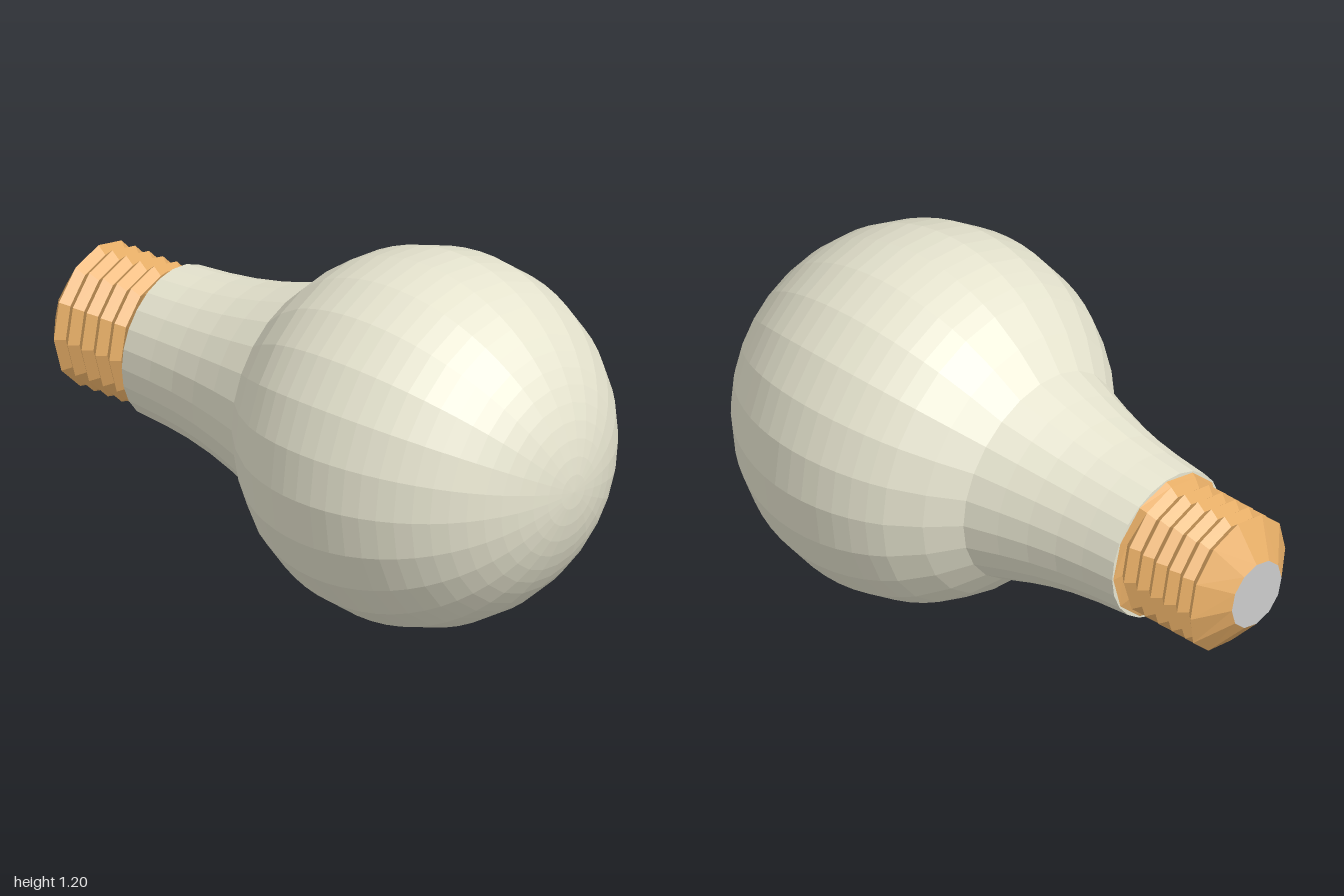
import * as THREE from 'three';

const AXIS_Y = 0.6;       // height of the bulb's axis, which runs along z
const TIP_Z = -1, TIP_R = 0.115;
const COLLAR_Z = -0.62, COLLAR_R = 0.245;
const CREST = 0.235, ROOT = 0.21, PITCH = 0.056, START = -0.935;
const SIDES = 12;

const material = (color) => new THREE.MeshStandardMaterial({ color, flatShading: true });

// Glass: neck curve running into a sphere of radius 0.6, turned around the axis
function createGlass() {
  const profile = [
    [0, -0.62], [0.25, -0.62], [0.26, -0.5], [0.273, -0.4], [0.293, -0.3],
    [0.32, -0.2], [0.355, -0.09], [0.445, 0.0],
  ].map(([r, z]) => new THREE.Vector2(r, z));
  const rings = 22, first = THREE.MathUtils.degToRad(120);
  for (let i = 0; i <= rings; i++) {
    const a = first * (1 - i / rings);
    profile.push(new THREE.Vector2(0.6 * Math.sin(a), 0.4 + 0.6 * Math.cos(a)));
  }
  const geometry = new THREE.LatheGeometry(profile, 24);
  geometry.rotateX(Math.PI / 2);
  return geometry;
}

// Cross-section of the screw base at t turns: [radius, z] from tip to collar
function screwSection(t) {
  const z0 = START + PITCH * t;
  // the thread runs out in the last quarter turn
  const fade = Math.max(0, (t - 0.75) / 0.25);
  const edge = THREE.MathUtils.lerp(z0, START, fade);
  const section = [
    [TIP_R, TIP_Z],
    [CREST, edge],
    [THREE.MathUtils.lerp(CREST, ROOT, fade), THREE.MathUtils.lerp(z0, z0 - PITCH / 2, fade)],
  ];
  for (let k = 0; k <= 12; k++) {
    const z = z0 + k * PITCH / 2;
    section.push(z >= COLLAR_Z ? [COLLAR_R, COLLAR_Z] : [k % 2 ? ROOT : CREST, z]);
  }
  return section;
}

// Screw base: helical thread skinned over the sections
function createScrew() {
  const positions = [], index = [];
  let rows = 0;
  for (let i = 0; i <= SIDES; i++) {
    const angle = (i / SIDES) * Math.PI * 2;
    const section = screwSection(i / SIDES);
    rows = section.length;
    for (const [r, z] of section) positions.push(r * Math.cos(angle), r * Math.sin(angle), z);
  }
  for (let i = 0; i < SIDES; i++) {
    for (let j = 0; j < rows - 1; j++) {
      const a = i * rows + j, b = a + rows;
      index.push(a, b, a + 1, b, b + 1, a + 1);
    }
  }
  const geometry = new THREE.BufferGeometry();
  geometry.setAttribute('position', new THREE.Float32BufferAttribute(positions, 3));
  geometry.setIndex(index);
  geometry.computeVertexNormals();
  return geometry;
}

export function createModel() {
  const model = new THREE.Group();
  model.name = 'lightBulb';
  const add = (name, geometry, color) => {
    const mesh = new THREE.Mesh(geometry, material(color));
    mesh.name = name;
    mesh.position.y = AXIS_Y;
    model.add(mesh);
    return mesh;
  };

  add('glassBulb', createGlass(), 0xe6e4cf);
  add('screwBase', createScrew(), 0xe6ad66);

  // Contact disc closing the end of the base
  const contact = add('contactTip', new THREE.CircleGeometry(TIP_R, SIDES), 0xcccccc);
  contact.rotation.y = Math.PI;
  contact.position.z = TIP_Z;

  return model;
}
